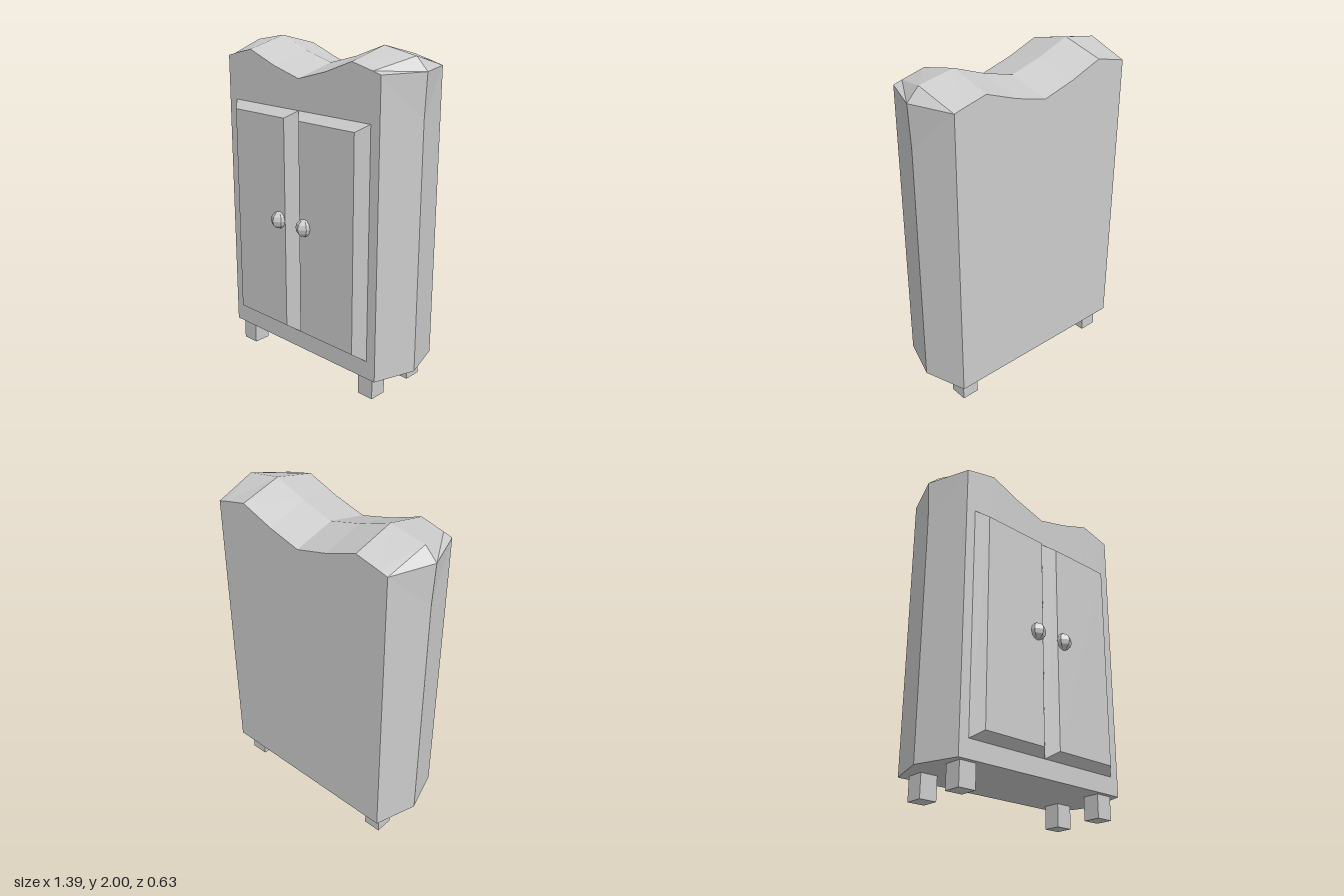
import * as THREE from 'three';

const material = new THREE.MeshStandardMaterial({ color: 0xcccccc, flatShading: true });
const FRONT = 0.2, RIDGE = -0.06, BACK = -0.32, BASE = 0.14;

function add(parent, name, geometry, x = 0, y = 0, z = 0) {
  const mesh = new THREE.Mesh(geometry, material);
  mesh.name = name;
  mesh.position.set(x, y, z);
  parent.add(mesh);
  return mesh;
}

// Cabinet body: six-point cross-sections lofted along x, with pointed sides and a wavy ridged top
function bodyGeometry() {
  // edge x, edge height, ridge x, ridge height, ridge x at the base
  const half = [
    [0.2, 1.86, 0.2, 1.925, 0.2],
    [0.4, 1.935, 0.4, 2.0, 0.4],
    [0.545, 1.9, 0.62, 1.96, 0.545],
    [0.6, 1.885, 0.695, 1.885, 0.683],
  ];
  const mirrored = half.map(([a, b, c, d, e]) => [-a, b, -c, d, -e]).reverse();
  const stations = [...mirrored, [0, 1.805, 0, 1.87, 0], ...half];
  const rings = stations.map(([ex, ey, rx, ry, bx]) => [
    [ex, BASE, FRONT], [ex, ey, FRONT], [rx, ry, RIDGE],
    [ex, ey, BACK], [ex, BASE, BACK], [bx, BASE, RIDGE],
  ]);
  const points = [];
  const tri = (a, b, c) => points.push(...a, ...b, ...c);

  for (let s = 0; s < rings.length - 1; s++) {
    const p = rings[s], q = rings[s + 1];
    for (let i = 0; i < 6; i++) {
      const j = (i + 1) % 6;
      if (s < 4) { // mirror the diagonals about the middle
        tri(p[i], q[i], p[j]);
        tri(q[i], q[j], p[j]);
      } else {
        tri(p[i], q[i], q[j]);
        tri(p[i], q[j], p[j]);
      }
    }
  }
  // Side faces fan out from the point where the side begins to flare
  const left = rings[rings.length - 1], right = rings[0];
  for (let i = 0; i < 6; i++) {
    const j = (i + 1) % 6;
    tri([0.683, 1.63, RIDGE], left[j], left[i]);
    tri([-0.683, 1.63, RIDGE], right[i], right[j]);
  }
  const geometry = new THREE.BufferGeometry();
  geometry.setAttribute('position', new THREE.Float32BufferAttribute(points, 3));
  geometry.computeVertexNormals();
  return geometry;
}

// Door panel: a box whose front face is drawn in to make bevels
function doorGeometry() {
  const geometry = new THREE.BoxGeometry(0.538, 1.375, 0.06);
  const pos = geometry.attributes.position;
  for (let i = 0; i < pos.count; i++) {
    if (pos.getZ(i) > 0) {
      pos.setX(i, Math.sign(pos.getX(i)) * 0.209);
      pos.setY(i, Math.sign(pos.getY(i)) * 0.645);
    }
  }
  geometry.computeVertexNormals();
  return geometry;
}

export function createModel() {
  const group = new THREE.Group();
  group.name = 'wardrobe';
  add(group, 'body', bodyGeometry());

  for (const [side, sign] of [['left', 1], ['right', -1]]) {
    add(group, side + 'Door', doorGeometry(), sign * 0.269, 0.9375, 0.23);

    // Faceted knob with one edge facing forward
    const knob = new THREE.SphereGeometry(0.052, 6, 6).rotateY(Math.PI / 6);
    add(group, side + 'Knob', knob, sign * 0.105 - 0.003, 0.967, 0.263);

    // Square feet
    for (const [end, z] of [['Front', 0.117], ['Back', -0.207]]) {
      add(group, side + end + 'Foot', new THREE.BoxGeometry(0.108, BASE, 0.108),
        sign * 0.51 - 0.005, BASE / 2, z);
    }
  }
  return group;
}
